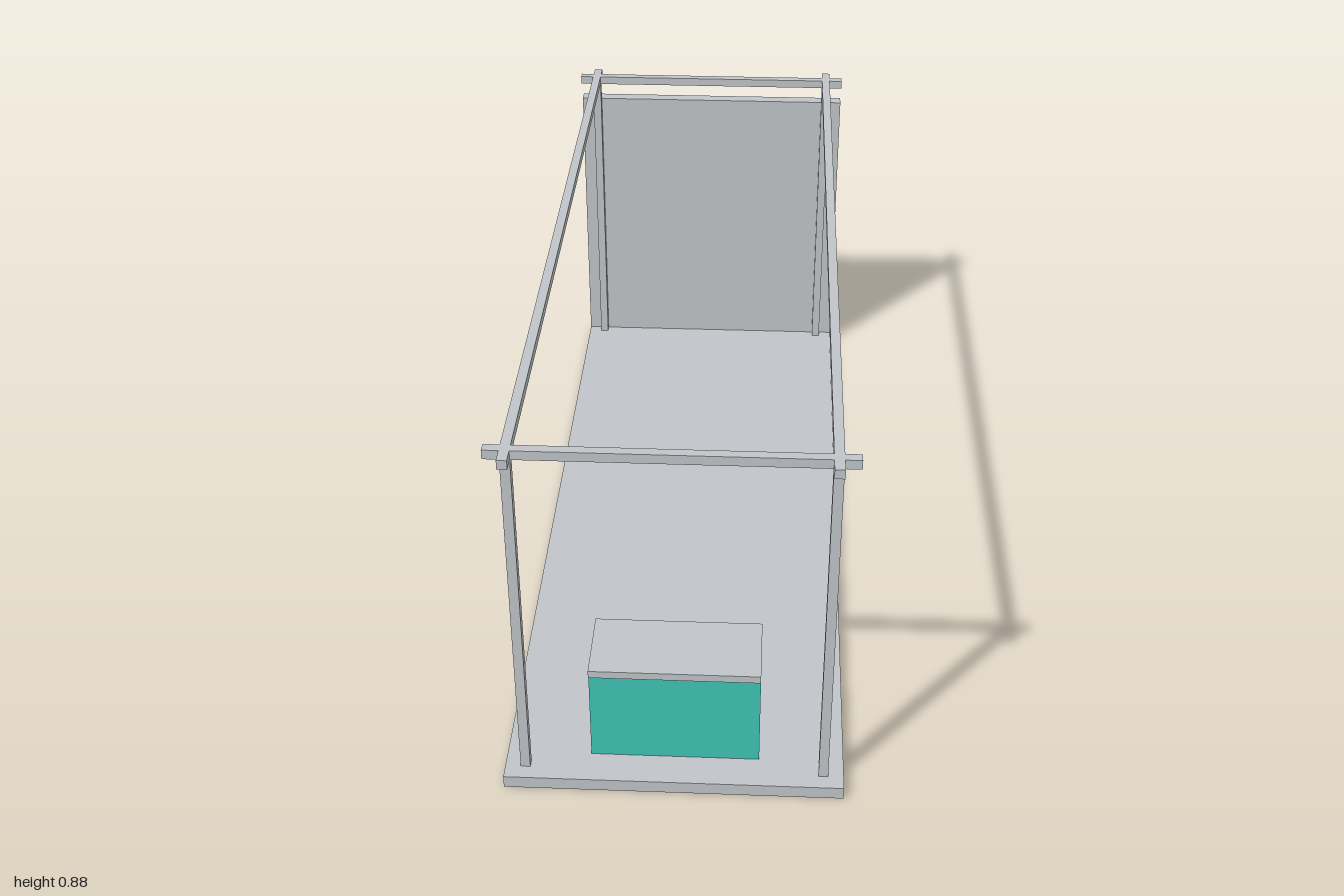
import * as THREE from 'three';

const grey = new THREE.MeshStandardMaterial({ name: 'paleGrey', color: 0xc0c5c9 });
const teal = new THREE.MeshStandardMaterial({ name: 'teal', color: 0x40c4b5 });

// Box given by its minimum and maximum corners
function block(name, min, max, material) {
  const size = max.map((v, i) => v - min[i]);
  const mesh = new THREE.Mesh(new THREE.BoxGeometry(...size), material);
  mesh.position.set(...max.map((v, i) => (v + min[i]) / 2));
  mesh.name = name;
  return mesh;
}

export function createModel() {
  const model = new THREE.Group();
  model.name = 'exhibitionBooth';

  const halfW = 0.374, floorTop = 0.03, bar = 0.0107;
  const frameX = 0.329, frameZ = 0.955, beamLow = 0.8535, beamHigh = 0.875;

  // Platform and back wall
  model.add(block('floor', [-halfW, 0, -0.966], [halfW, floorTop, 1], grey));
  model.add(block('backWall', [-halfW, 0, -1], [halfW, 0.8, -0.966], grey));

  // Open frame: four posts, with beams crossing at the corners
  const frame = new THREE.Group();
  frame.name = 'frame';
  for (const sx of [-1, 1]) {
    const x = sx * frameX;
    for (const sz of [-1, 1]) {
      const z = sz * frameZ;
      frame.add(block('post', [x - bar, floorTop, z - bar], [x + bar, beamLow, z + bar], grey));
    }
    frame.add(block('longBeam', [x - bar, beamLow, -1], [x + bar, beamHigh, 1], grey));
  }
  for (const sz of [-1, 1]) {
    const z = sz * frameZ;
    // Cross beam between the long beams, plus the stubs outside them
    const inner = frameX - bar, outer = frameX + bar;
    for (const [a, b] of [[-halfW, -outer], [-inner, inner], [outer, halfW]]) {
      frame.add(block('crossBeam', [a, beamLow, z - bar], [b, beamHigh, z + bar], grey));
    }
  }
  model.add(frame);

  // Reception counter
  const counter = new THREE.Group();
  counter.name = 'counter';
  counter.add(block('counterBody', [-0.187, floorTop, 0.757], [0.187, 0.26, 0.919], teal));
  counter.add(block('counterTop', [-0.187, 0.26, 0.75], [0.187, 0.278, 0.927], grey));
  model.add(counter);

  return model;
}
